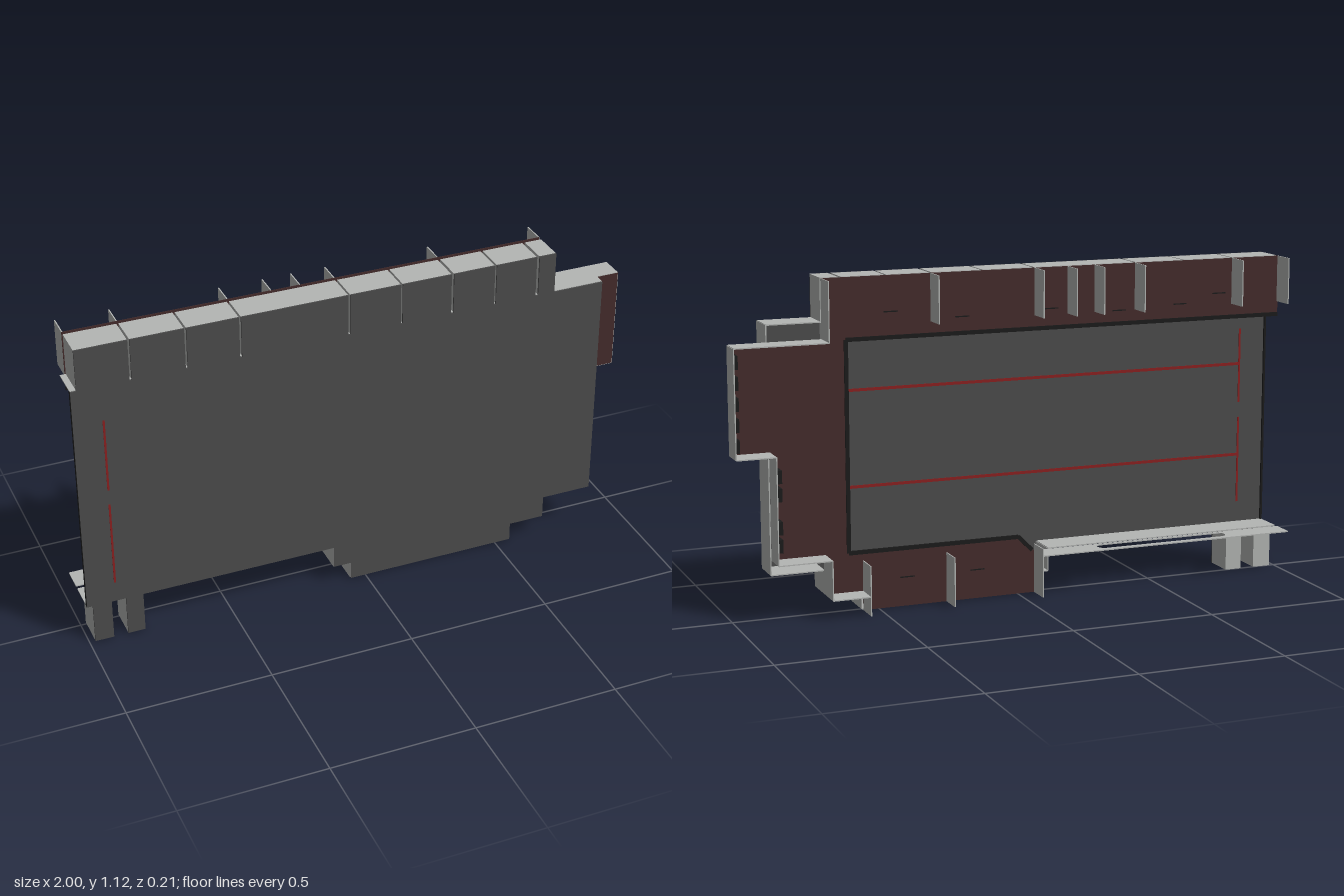
import * as THREE from 'three';

const flat = (name, color) => {
  const m = new THREE.MeshStandardMaterial({ color, side: THREE.DoubleSide });
  m.name = name;
  return m;
};

export function createModel() {
  const dark = flat('darkGrey', 0x4c4c4c);
  const light = flat('lightGrey', 0xb4b6b4);
  const maroon = flat('maroon', 0x452c2c);
  const red = flat('red', 0x8c2020);
  const black = flat('nearBlack', 0x1c1c1c);

  const model = new THREE.Group();
  model.name = 'model';
  const group = (name) => {
    const g = new THREE.Group();
    g.name = name;
    model.add(g);
    return g;
  };

  // Box given by its limits on each axis
  const block = (parent, name, mat, x0, x1, y0, y1, z0, z1) => {
    const m = new THREE.Mesh(new THREE.BoxGeometry(x1 - x0, y1 - y0, z1 - z0), mat);
    m.position.set((x0 + x1) / 2, (y0 + y1) / 2, (z0 + z1) / 2);
    m.name = name;
    parent.add(m);
    return m;
  };

  // Thin walls standing on a line of points in the x-y plane
  const walls = (parent, name, mat, pts, z0, z1, t = 0.004) => {
    for (let i = 0; i + 1 < pts.length; i++) {
      const [ax, ay] = pts[i], [bx, by] = pts[i + 1];
      const m = new THREE.Mesh(new THREE.BoxGeometry(Math.hypot(bx - ax, by - ay), t, z1 - z0), mat);
      m.position.set((ax + bx) / 2, (ay + by) / 2, (z0 + z1) / 2);
      m.rotation.z = Math.atan2(by - ay, bx - ax);
      m.name = name;
      parent.add(m);
    }
  };

  // Flat plate cut from an outline
  const plate = (parent, name, mat, pts, z, depth) => {
    const shape = new THREE.Shape(pts.map(([x, y]) => new THREE.Vector2(x, y)));
    const m = new THREE.Mesh(new THREE.ExtrudeGeometry(shape, { depth, bevelEnabled: false }), mat);
    m.position.z = z;
    m.name = name;
    parent.add(m);
  };

  const FRONT = 0.106, MID = -0.007, BOARD = -0.023, BACK = -0.105;

  // Front shell: dark face with light side walls, open at the -x end
  const shell = group('frontShell');
  const outline = [[-1, 0.975], [0.867, 0.975], [0.867, 0.145], [0.685, 0.145], [0.685, 0.065],
    [0.557, 0.065], [0.557, 0], [-0.055, 0], [-0.055, 0.065], [-0.118, 0.065], [-0.118, 0.145], [-1, 0.145]];
  plate(shell, 'frontFace', dark, outline, FRONT - 0.005, 0.005);
  walls(shell, 'shellWall', light, outline, MID, FRONT - 0.005);
  block(shell, 'openEdge', black, -1.001, -0.994, 0.145, 0.975, FRONT - 0.012, FRONT - 0.001);

  // Raised row of blocks along the top and two feet below
  const cells = [[-0.98, -0.806], [-0.799, -0.62], [-0.613, -0.437], [-0.43, -0.063], [-0.056, 0.122],
    [0.129, 0.303], [0.312, 0.46], [0.467, 0.614], [0.624, 0.685]];
  for (const [a, b] of cells) {
    block(shell, 'topBlock', light, a, b, 0.975, 1.12, MID, FRONT - 0.005);
    block(shell, 'topBlockFace', dark, a, b, 0.975, 1.12, FRONT - 0.005, FRONT);
  }
  for (const [a, b] of [[-0.98, -0.915], [-0.865, -0.805]]) {
    block(shell, 'foot', light, a, b, 0, 0.145, MID, FRONT - 0.005);
    block(shell, 'footFace', dark, a, b, 0, 0.145, FRONT - 0.005, FRONT);
  }

  // Red lines on the face, inside and out
  const lines = group('redLines');
  for (const [a, b] of [[0.22, 0.53], [0.585, 0.85]]) {
    block(lines, 'uprightLine', red, -0.903, -0.896, a, b, FRONT - 0.007, FRONT + 0.001);
  }
  for (const y of [0.394, 0.724]) {
    block(lines, 'levelLine', red, -0.9, 0.86, y - 0.005, y + 0.005, FRONT - 0.007, FRONT - 0.004);
  }

  // Maroon board around a large opening
  const board = group('board');
  const rim = [[-0.98, 0.915], [0.605, 0.915], [0.605, 0.2], [0, 0.2], [-0.05, 0.15]];
  plate(board, 'boardPanel', maroon, [[-0.98, 1.12], [0.685, 1.12], [0.685, 0.92], [1, 0.92], [1, 0.56],
    [0.867, 0.56], [0.867, 0.2], [0.685, 0.2], [0.685, 0.065], [0.557, 0.065], [0.557, 0],
    [-0.06, 0], [-0.06, 0.15], ...rim.slice(1).reverse(), rim[0]], BOARD - 0.001, 0.002);
  walls(board, 'openingRim', black, rim, BOARD - 0.004, BOARD + 0.002, 0.014);
  walls(board, 'rimSpacer', black, [[0.605, 0.2], [0.605, 0.915]], BOARD, MID);
  walls(board, 'sideSpacer', light, [[0.685, 0.065], [0.685, 0.975]], BOARD, MID);
  for (const [x, y] of [[-0.75, 1], [-0.6, 0.97], [-0.37, 0.96], [-0.12, 0.98], [0.2, 0.97], [0.45, 1], [0.15, 0.1], [0.4, 0.1]]) {
    block(board, 'slot', black, x - 0.025, x + 0.025, y - 0.002, y + 0.002, BOARD - 0.003, BOARD);
  }

  // Stepped outer walls behind the board
  const tray = group('backWalls');
  walls(tray, 'steppedWall', light, [[0.685, 1.12], [0.685, 0.92], [1, 0.92], [1, 0.56], [0.867, 0.56],
    [0.867, 0.2], [0.685, 0.2], [0.685, 0.065], [0.557, 0.065]], BACK, BOARD);
  for (const x of [-0.978, -0.8, -0.43, -0.28, -0.18, -0.06, 0.31]) {
    walls(tray, 'topFin', light, [[x, 0.96], [x, 1.12]], BACK, BOARD);
  }
  for (const x of [-0.06, 0.26, 0.555]) {
    walls(tray, 'bottomFin', light, [[x, 0], [x, 0.17]], BACK, BOARD);
  }

  // Dark fittings on the inner faces of the walls
  const fittings = group('fittings');
  for (let i = 0; i < 5; i++) {
    const y = 0.6 + i * 0.068;
    block(fittings, 'wallFitting', black, 0.982, 0.998, y - 0.022, y + 0.022, -0.085, -0.04);
  }
  for (const y of [0.26, 0.32, 0.43, 0.49]) {
    block(fittings, 'wallFitting', black, 0.845, 0.865, y - 0.022, y + 0.022, -0.085, -0.04);
  }
  for (const x of [-0.7, -0.45, -0.2, 0.05, 0.3, 0.5]) {
    block(fittings, 'ceilingFitting', dark, x - 0.04, x + 0.04, 0.955, 0.973, 0.03, 0.07);
  }
  for (const x of [-0.02, 0.2, 0.4]) {
    block(fittings, 'floorFitting', black, x - 0.03, x + 0.03, 0.147, 0.165, 0.03, 0.06);
  }

  // Rear shelf with a long rounded hole
  const x0 = -0.77, x1 = -0.28, z0 = 0.033, z1 = 0.085, r = 0.024;
  const shelfShape = new THREE.Shape([[-1, -BOARD], [-0.06, -BOARD], [-0.06, -BACK], [-1, -BACK]]
    .map(([x, y]) => new THREE.Vector2(x, y)));
  const hole = new THREE.Path();
  hole.absarc(x1 - r, z0 + r, r, -Math.PI / 2, 0);
  hole.absarc(x1 - r, z1 - r, r, 0, Math.PI / 2);
  hole.absarc(x0 + r, z1 - r, r, Math.PI / 2, Math.PI);
  hole.absarc(x0 + r, z0 + r, r, Math.PI, Math.PI * 1.5);
  shelfShape.holes.push(hole);
  const shelf = new THREE.Mesh(
    new THREE.ExtrudeGeometry(shelfShape, { depth: 0.004, bevelEnabled: false, curveSegments: 8 }), light);
  shelf.rotation.x = -Math.PI / 2;
  shelf.position.y = 0.143;
  shelf.name = 'rearShelf';
  model.add(shelf);

  return model;
}
